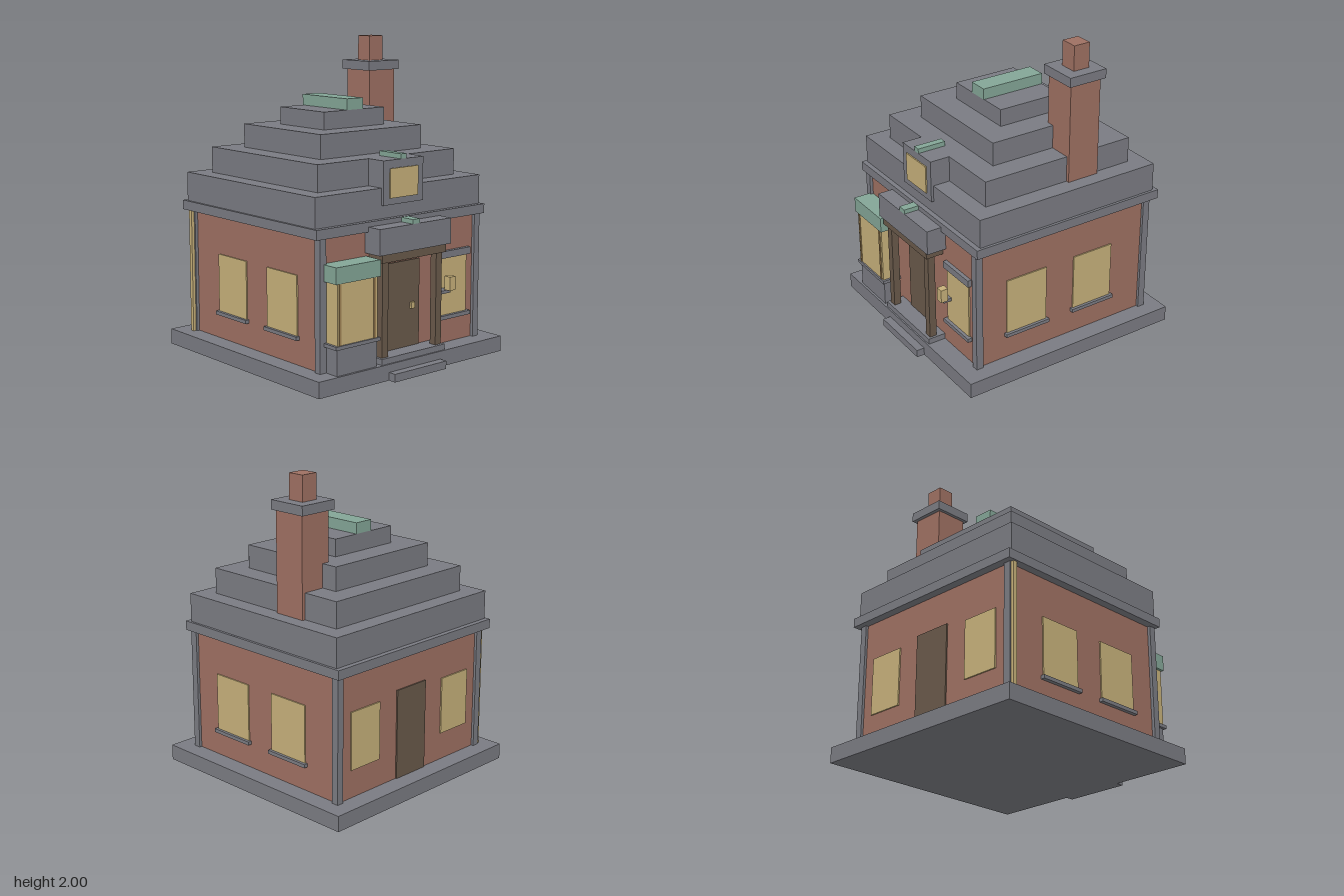
import * as THREE from 'three';

const mat = (name, color) => {
  const m = new THREE.MeshStandardMaterial({ color });
  m.name = name;
  return m;
};

export function createModel() {
  const stone = mat('grey stone', 0x7a7b82);
  const brick = mat('red brick', 0x9e7062);
  const copper = mat('green copper', 0x83a596);
  const glass = mat('warm glass', 0xc6b07a);
  const wood = mat('dark wood', 0x69594a);
  const frame = mat('light wood', 0xa08355);

  const house = new THREE.Group();
  house.name = 'house';

  // Box given by its limits along x, y and z
  const box = (name, m, x0, x1, y0, y1, z0, z1) => {
    const mesh = new THREE.Mesh(new THREE.BoxGeometry(x1 - x0, y1 - y0, z1 - z0), m);
    mesh.position.set((x0 + x1) / 2, (y0 + y1) / 2, (z0 + z1) / 2);
    mesh.name = name;
    house.add(mesh);
  };

  // Base, step and walls
  box('foundation', stone, -0.76, 0.76, 0, 0.1, -0.787, 0.735);
  box('frontStep', stone, -0.215, 0.215, 0, 0.05, 0.735, 0.787);
  box('walls', brick, -0.64, 0.64, 0.1, 0.9, -0.665, 0.605);
  for (const [x0, x1] of [[-0.66, -0.612], [0.612, 0.658]]) {
    box('cornerPost', stone, x0, x1, 0.1, 0.9, 0.577, 0.625);
    box('cornerPost', stone, x0, x1, 0.1, 0.9, -0.682, -0.634);
  }
  box('drainPipe', glass, -0.68, -0.66, 0.1, 0.9, -0.672, -0.645);

  // Stepped roof
  box('cornice', stone, -0.693, 0.69, 0.9, 0.96, -0.72, 0.635);
  [
    [-0.678, 0.673, 0.96, 1.145, -0.687, 0.603],
    [-0.563, 0.558, 1.145, 1.31, -0.572, 0.488],
    [-0.415, 0.411, 1.31, 1.46, -0.424, 0.338],
    [-0.25, 0.246, 1.46, 1.57, -0.26, 0.172],
  ].forEach((t) => box('roofTier', stone, ...t));
  box('roofRidge', copper, -0.067, 0.065, 1.57, 1.64, -0.26, 0.175);

  // Chimney
  box('chimneyStack', brick, 0.36, 0.58, 1.1, 1.78, -0.315, -0.097);
  box('chimneyCap', stone, 0.338, 0.6, 1.78, 1.84, -0.34, -0.077);
  box('chimneyPot', brick, 0.412, 0.527, 1.84, 2, -0.267, -0.155);

  // Dormer
  box('dormer', stone, -0.165, 0.161, 1.04, 1.31, 0.45, 0.62);
  box('dormerWindow', glass, -0.115, 0.113, 1.08, 1.26, 0.62, 0.628);
  box('dormerRidge', copper, -0.025, 0.022, 1.31, 1.34, 0.43, 0.62);

  // Porch and front door
  box('porchFloor', stone, -0.265, 0.26, 0.1, 0.137, 0.6, 0.725);
  box('frontDoor', wood, -0.146, 0.144, 0.137, 0.68, 0.605, 0.614);
  box('doorKnob', glass, 0.065, 0.095, 0.375, 0.415, 0.614, 0.63);
  for (const x of [-0.223, 0.221])
    box('porchPost', wood, x - 0.024, x + 0.024, 0.137, 0.72, 0.658, 0.706);
  box('porchBeam', wood, -0.265, 0.26, 0.72, 0.77, 0.6, 0.725);
  box('porchCanopy', stone, -0.295, 0.292, 0.77, 0.93, 0.6, 0.735);
  box('canopyRidge', copper, -0.031, 0.027, 0.93, 0.958, 0.6, 0.735);

  // Bay window
  box('bayBase', stone, -0.612, -0.302, 0.1, 0.26, 0.6, 0.72);
  box('baySill', stone, -0.63, -0.287, 0.26, 0.282, 0.6, 0.735);
  box('bayGlass', glass, -0.612, -0.302, 0.282, 0.65, 0.6, 0.725);
  for (const x of [-0.593, -0.327])
    box('bayMullion', frame, x - 0.008, x + 0.008, 0.282, 0.65, 0.725, 0.73);
  box('bayRoof', copper, -0.63, -0.287, 0.65, 0.75, 0.6, 0.735);

  // Front window and lantern
  box('frontWindow', glass, 0.312, 0.556, 0.28, 0.65, 0.605, 0.614);
  box('frontSill', stone, 0.296, 0.576, 0.257, 0.282, 0.6, 0.635);
  box('frontLintel', stone, 0.296, 0.576, 0.65, 0.695, 0.6, 0.63);
  box('lanternBracket', stone, 0.28, 0.362, 0.438, 0.458, 0.605, 0.67);
  box('lantern', glass, 0.328, 0.377, 0.458, 0.545, 0.648, 0.697);

  // Side windows with sills, both sides
  for (const s of [-1, 1]) {
    for (const z of [-0.25, 0.25]) {
      const out = (a, b) => (s > 0 ? [a, b] : [-b, -a]);
      box('sideWindow', glass, ...out(0.64, 0.648), 0.28, 0.65, z - 0.146, z + 0.146);
      box('sideSill', stone, ...out(0.63, 0.666), 0.257, 0.28, z - 0.16, z + 0.16);
    }
    // Back windows
    box('backWindow', glass, s * 0.41 - 0.124, s * 0.41 + 0.124, 0.28, 0.65, -0.674, -0.665);
  }
  box('backDoor', wood, -0.13, 0.13, 0.1, 0.68, -0.674, -0.665);

  return house;
}
